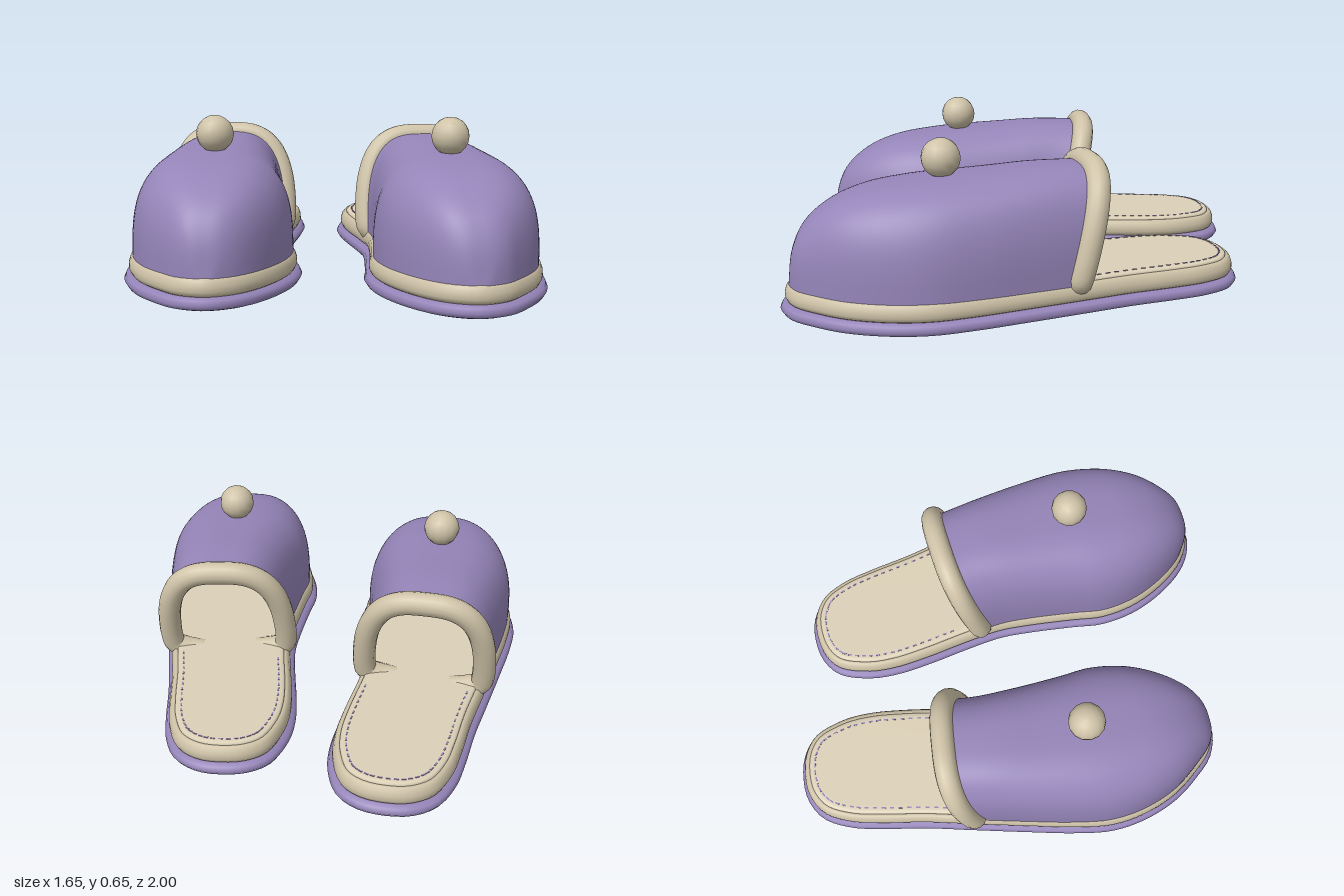
import * as THREE from 'three';

function flat(name, color) {
  const m = new THREE.MeshStandardMaterial({ color });
  m.name = name;
  return m;
}
const purple = flat('purple felt', 0x9585b9);
const beige = flat('beige trim', 0xcfc3a8);
const pale = flat('pale insole', 0xdcd0b7);
const mauve = flat('mauve lining', 0xa596ae);

// Sole outline (x, z): heel, down the inner side, toe, back up the outer side
const OUTLINE = [
  [0.34, -0.842], [0.235, -0.822], [0.153, -0.762], [0.102, -0.63], [0.092, -0.5], [0.108, -0.344],
  [0.138, -0.16], [0.158, 0], [0.153, 0.13], [0.132, 0.344], [0.116, 0.476], [0.14, 0.64],
  [0.211, 0.8], [0.3, 0.916], [0.383, 0.972], [0.476, 0.993], [0.585, 0.955], [0.662, 0.877],
  [0.748, 0.755], [0.806, 0.6], [0.825, 0.45], [0.804, 0.29], [0.757, 0.08], [0.7, -0.16],
  [0.656, -0.344], [0.622, -0.53], [0.59, -0.66], [0.53, -0.773], [0.44, -0.83],
];
const outline = new THREE.CatmullRomCurve3(OUTLINE.map(([x, z]) => new THREE.Vector3(x, 0, z)), true);
const N = 120;

// Outline moved inwards by d
function ring(d, count = N) {
  const pts = [];
  for (let j = 0; j < count; j++) {
    const p = outline.getPointAt(j / count);
    const t = outline.getTangentAt(j / count);
    pts.push(new THREE.Vector3(p.x + t.z * d, 0, p.z - t.x * d));
  }
  return pts;
}

function makeGeometry(positions, index) {
  const g = new THREE.BufferGeometry();
  g.setAttribute('position', new THREE.Float32BufferAttribute(positions, 3));
  g.setIndex(index);
  g.computeVertexNormals();
  return g;
}

// Closed slab lofted through [inset, y] rings from bottom to top
function slab(profile) {
  const pos = [], idx = [];
  profile.forEach(([d, y]) => ring(d).forEach(p => pos.push(p.x, y, p.z)));
  const last = profile.length - 1;
  const bottom = pos.length / 3, top = bottom + 1;
  pos.push(0.42, profile[0][1], 0.08, 0.42, profile[last][1], 0.08);
  for (let j = 0; j < N; j++) {
    const k = (j + 1) % N;
    for (let i = 0; i < last; i++) {
      const a = i * N + j, b = i * N + k;
      idx.push(a, b, b + N, a, b + N, a + N);
    }
    idx.push(bottom, k, j, top, last * N + j, last * N + k);
  }
  return makeGeometry(pos, idx);
}

// Left and right x of the upper's footprint at a given z
const footprint = ring(0.034, 400);
const tip = footprint.reduce((a, b) => (b.z > a.z ? b : a));
function spanAt(z) {
  const xs = [];
  footprint.forEach((p, j) => {
    const q = footprint[(j + 1) % footprint.length];
    if ((p.z - z) * (q.z - z) <= 0 && p.z !== q.z) xs.push(p.x + (q.x - p.x) * (z - p.z) / (q.z - p.z));
  });
  return xs.length ? [Math.min(...xs), Math.max(...xs)] : [tip.x, tip.x];
}

// Arched cross-section of the upper, leaning back near the opening
const BASE = 0.11;
function section(z, top, count) {
  const [l, r] = spanAt(z);
  const c = (l + r) / 2, w = (r - l) / 2;
  const lean = THREE.MathUtils.clamp((0.6 - z) / 0.7, 0, 1);
  const pts = [];
  for (let j = 0; j <= count; j++) {
    const a = Math.PI * j / count, co = Math.cos(a);
    const x = c - w * Math.sign(co) * Math.abs(co) ** 0.68;
    const y = BASE + (top - BASE) * Math.max(Math.sin(a), 0) ** 0.68;
    pts.push(new THREE.Vector3(x, y, z - lean * (0.24 * (y - BASE) + 0.08 * (x - c))));
  }
  return pts;
}

function upperGeometry(inside) {
  // Ridge line from opening to toe
  const ridge = new THREE.CatmullRomCurve3([
    [-0.1, 0.535], [0.08, 0.538], [0.25, 0.525], [0.5, 0.503], [0.68, 0.47], [0.8, 0.42],
    [0.89, 0.345], [0.938, 0.25], [tip.z - 0.001, BASE],
  ].map(([z, y]) => new THREE.Vector3(0, y, z)));
  const rows = 48, cols = 44, pos = [], idx = [];
  for (let i = 0; i <= rows; i++) {
    const p = ridge.getPoint(i / rows);
    section(Math.min(p.z, tip.z), p.y, cols).forEach(v => pos.push(v.x, v.y, v.z));
  }
  for (let i = 0; i < rows; i++) {
    for (let j = 0; j < cols; j++) {
      const a = i * (cols + 1) + j, b = a + cols + 1;
      idx.push(a, b, a + 1, b, b + 1, a + 1);
    }
  }
  return makeGeometry(pos, inside ? idx.reverse() : idx);
}

// Padded rim round the opening, its ends tucked inwards onto the insole
function rimGeometry() {
  const arch = section(-0.1, 0.53, 20);
  const foot = (p, s) => [[0.13, 0.088], [0.06, 0.102], [0.012, 0.125], [0.002, 0.175]].map(
    ([dx, y]) => new THREE.Vector3(p.x + s * dx, y, p.z - 0.24 * (y - BASE)));
  const path = [...foot(arch[0], 1), ...arch.slice(2, 19), ...foot(arch[20], -1).reverse()];
  return new THREE.TubeGeometry(new THREE.CatmullRomCurve3(path), 80, 0.047, 14);
}

function createSlipper(name, matrix) {
  const group = new THREE.Group();
  group.name = name;
  const flip = matrix.determinant() < 0;
  const add = (part, geometry, material) => {
    geometry.applyMatrix4(matrix);
    if (flip) geometry.index.array.reverse(); // keep faces outward when mirrored
    const mesh = new THREE.Mesh(geometry, material);
    mesh.name = part;
    group.add(mesh);
  };

  add('sole', slab([[0.05, 0], [0.03, 0.001], [0.01, 0.008], [0, 0.024], [0.008, 0.042], [0.03, 0.05], [0.05, 0.05]]), purple);
  add('piping', slab([[0.04, 0.046], [0.026, 0.055], [0.019, 0.07], [0.02, 0.09], [0.027, 0.11],
    [0.037, 0.12], [0.046, 0.12], [0.06, 0.115]]), beige);
  add('insole', slab([[0.047, 0.112], [0.047, 0.124], [0.053, 0.129], [0.065, 0.131], [0.085, 0.131]]), pale);
  add('upper', upperGeometry(false), purple);
  add('lining', upperGeometry(true), mauve);
  add('rim', rimGeometry(), beige);
  add('pompom', new THREE.SphereGeometry(0.076, 14, 10).translate(0.465, 0.577, 0.375), beige);

  // Dashed stitching round the heel
  const stitches = ring(0.072, 116);
  stitches.forEach((p, j) => {
    if (p.z > -0.2) return;
    const q = stitches[(j + 1) % stitches.length];
    const dash = new THREE.BoxGeometry(0.006, 0.004, 0.018);
    dash.rotateY(Math.atan2(q.x - p.x, q.z - p.z)).translate(p.x, 0.131, p.z);
    add('stitch', dash, purple);
  });
  return group;
}

export function createModel() {
  const model = new THREE.Group();
  model.name = 'slippers';
  model.add(createSlipper('leftSlipper', new THREE.Matrix4()));

  // The right slipper is mirrored, set further back and turned out slightly
  const m = new THREE.Matrix4().makeScale(-1, 1, 1)
    .multiply(new THREE.Matrix4().makeTranslation(0.395, 0, -0.09))
    .multiply(new THREE.Matrix4().makeRotationY(0.035))
    .multiply(new THREE.Matrix4().makeTranslation(-0.405, 0, -0.075));
  model.add(createSlipper('rightSlipper', m));
  return model;
}
